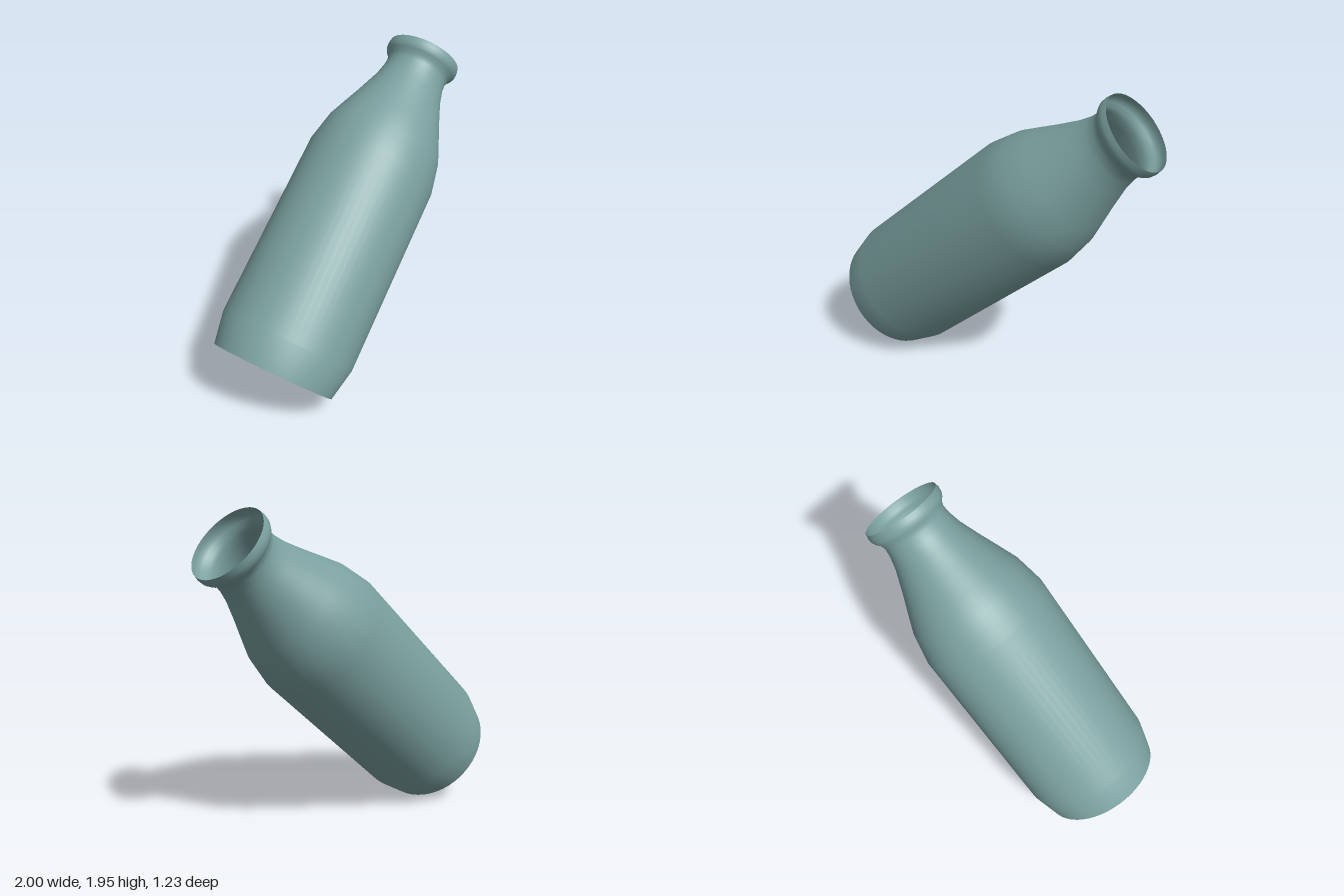
import * as THREE from 'three';

export function createModel() {
  const group = new THREE.Group();
  const material = new THREE.MeshStandardMaterial({ color: 0x7aa09f, side: THREE.DoubleSide });
  const bottle = new THREE.Group();
  bottle.name = 'bottle';

  // Open, thin-walled body: [radius, height along the axis]
  const profile = [
    [0.39, 0], [0.43, 0.2], [0.42, 1.4], [0.381, 1.59], [0.33, 1.715],
    [0.282, 1.83], [0.228, 1.97], [0.208, 2.05], [0.203, 2.1],
    [0.212, 2.133], [0.231, 2.155], [0.241, 2.175], [0.243, 2.2], [0.238, 2.228],
  ].map(([r, y]) => new THREE.Vector2(r, y));
  const body = new THREE.Mesh(new THREE.LatheGeometry(profile, 64), material);
  body.name = 'body';

  // Flat base disc, facing down the axis
  const base = new THREE.Mesh(new THREE.CircleGeometry(0.39, 64), material);
  base.name = 'base';
  base.rotation.x = Math.PI / 2;

  bottle.add(body, base);

  // Lean the bottle over, resting on the edge of its base
  const axis = new THREE.Vector3(0.695, 0.6624, -0.2794).normalize();
  bottle.quaternion.setFromUnitVectors(new THREE.Vector3(0, 1, 0), axis);
  bottle.position.set(-0.72, 0.292, 0.236);

  group.add(bottle);
  return group;
}
